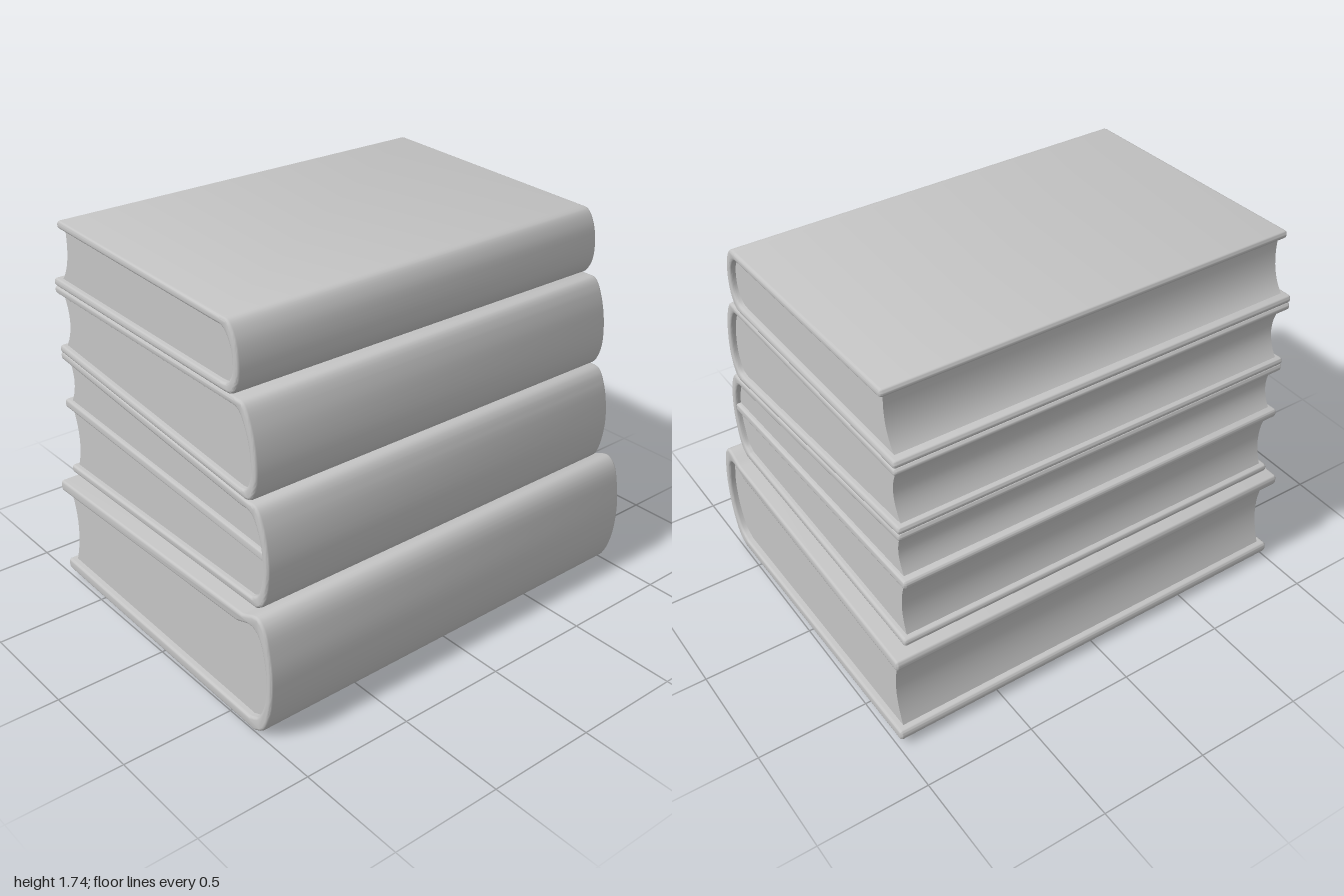
import * as THREE from 'three';
import { toCreasedNormals } from 'three/addons/utils/BufferGeometryUtils.js';

// Profiles are lists of [z, y] running across a book; books are extruded along x.
const BOOKS = [
  { name: 'bottomBook', x0: -1, x1: 0.99, t: 0.052, lip: 0.03,
    top: [-0.765, 0.505], bottom: [-0.765, 0.038],
    spine: [[0.60, 0.533], [0.70, 0.565], [0.742, 0.53], [0.772, 0.41], [0.78, 0.3], [0.762, 0.15], [0.715, 0.04], [0.66, 0.006]],
    fore: [[-0.745, 0.46], [-0.665, 0.29, -0.75, 0.08]] },
  { name: 'lowerMiddleBook', x0: -0.95, x1: 0.935, t: 0.038, lip: 0.025,
    top: [-0.74, 1.135], bottom: [-0.74, 0.54],
    spine: [[0.58, 1.008], [0.645, 1.0], [0.685, 0.93], [0.71, 0.79], [0.70, 0.67], [0.67, 0.58], [0.63, 0.548]],
    fore: [[-0.735, 1.11], [-0.66, 1.0, -0.745, 0.88], [-0.665, 0.72, -0.735, 0.565]],
    board: [[0.685, 0.8], [-0.755, 0.88]] },
  { name: 'upperMiddleBook', x0: -0.95, x1: 0.935, t: 0.035, lip: 0.025,
    top: [-0.735, 1.44], bottom: [-0.74, 1.13],
    spine: [[0.53, 1.412], [0.585, 1.405], [0.63, 1.32], [0.654, 1.19], [0.648, 1.09], [0.615, 1.02], [0.58, 1.008]],
    fore: [[-0.73, 1.42], [-0.64, 1.28, -0.74, 1.15]] },
  { name: 'topBook', x0: -0.95, x1: 0.935, t: 0.035, lip: 0.025,
    top: [-0.665, 1.745], bottom: [-0.735, 1.44],
    spine: [[0.46, 1.706], [0.51, 1.70], [0.548, 1.645], [0.565, 1.55], [0.555, 1.47], [0.52, 1.418], [0.47, 1.41]],
    fore: [[-0.655, 1.715], [-0.635, 1.54, -0.73, 1.455]] },
];

const smooth = (pts) => new THREE.CatmullRomCurve3(
  pts.map(([z, y]) => new THREE.Vector3(z, y, 0)), false, 'centripetal').getPoints(32).map((p) => [p.x, p.y]);

// Extrude a shape drawn in (-z, y) from x0 to x1 with softened ends
function extrude(shape, x0, x1, bevel) {
  const g = new THREE.ExtrudeGeometry(shape, {
    depth: x1 - x0 - 2 * bevel, bevelEnabled: bevel > 0, bevelThickness: bevel,
    bevelSize: bevel, bevelOffset: -bevel, bevelSegments: 3, curveSegments: 12,
  });
  g.rotateY(Math.PI / 2).translate(x0 + bevel, 0, 0);
  return toCreasedNormals(g, 0.7);
}

function makeBook(b, material) {
  const group = new THREE.Group();
  group.name = b.name;
  const add = (name, geometry) => {
    const mesh = new THREE.Mesh(geometry, material);
    mesh.name = name;
    group.add(mesh);
  };
  const { t, top, bottom } = b;
  const outer = smooth(b.spine);

  // Inner spine: moved back and squeezed between the two boards
  const yTop = b.spine[0][1], yBottom = b.spine[b.spine.length - 1][1];
  const mid = (yTop + yBottom) / 2, squeeze = 1 - 2 * t / (yTop - yBottom);
  const inner = outer.map(([z, y]) => [z - 0.035, mid + (y - mid) * squeeze]);

  // Cover: two boards with rounded tips joined by the curved spine
  const cover = new THREE.Shape();
  cover.moveTo(-top[0], top[1]);
  outer.forEach(([z, y]) => cover.lineTo(-z, y));
  cover.lineTo(-bottom[0], bottom[1]);
  cover.bezierCurveTo(-bottom[0] + 0.02, bottom[1], -bottom[0] + 0.02, bottom[1] + t, -bottom[0], bottom[1] + t);
  [...inner].reverse().forEach(([z, y]) => cover.lineTo(-z, y));
  cover.lineTo(-top[0], top[1] - t);
  cover.bezierCurveTo(-top[0] + 0.02, top[1] - t, -top[0] + 0.02, top[1], -top[0], top[1]);
  add('cover', extrude(cover, b.x0, b.x1, 0.012));

  // Pages: fill the cover, with a hollow fore edge
  const pages = new THREE.Shape();
  const [start, ...arcs] = b.fore;
  pages.moveTo(-start[0], start[1]);
  arcs.forEach(([cz, cy, z, y]) => pages.quadraticCurveTo(-cz, cy, -z, y));
  [...inner].reverse().forEach(([z, y]) => pages.lineTo(-z - 0.008, y));
  add('pages', extrude(pages, b.x0 + b.lip, b.x1 - b.lip, 0));

  // Extra board running through the middle of the pages
  if (b.board) {
    const [[fz, fy], [bz, by]] = b.board, h = 0.02;
    const board = new THREE.Shape();
    board.moveTo(-fz, fy - h);
    board.lineTo(-bz, by - h);
    board.bezierCurveTo(-bz + 0.018, by - h, -bz + 0.018, by + h, -bz, by + h);
    board.lineTo(-fz, fy + h);
    add('middleBoard', extrude(board, b.x0 + 0.005, b.x1 - 0.005, 0.01));
  }
  return group;
}

export function createModel() {
  const model = new THREE.Group();
  model.name = 'bookStack';
  const material = new THREE.MeshStandardMaterial({ color: 0xc4c4c4 });
  material.name = 'paleGrey';
  BOOKS.forEach((b) => model.add(makeBook(b, material)));
  return model;
}
